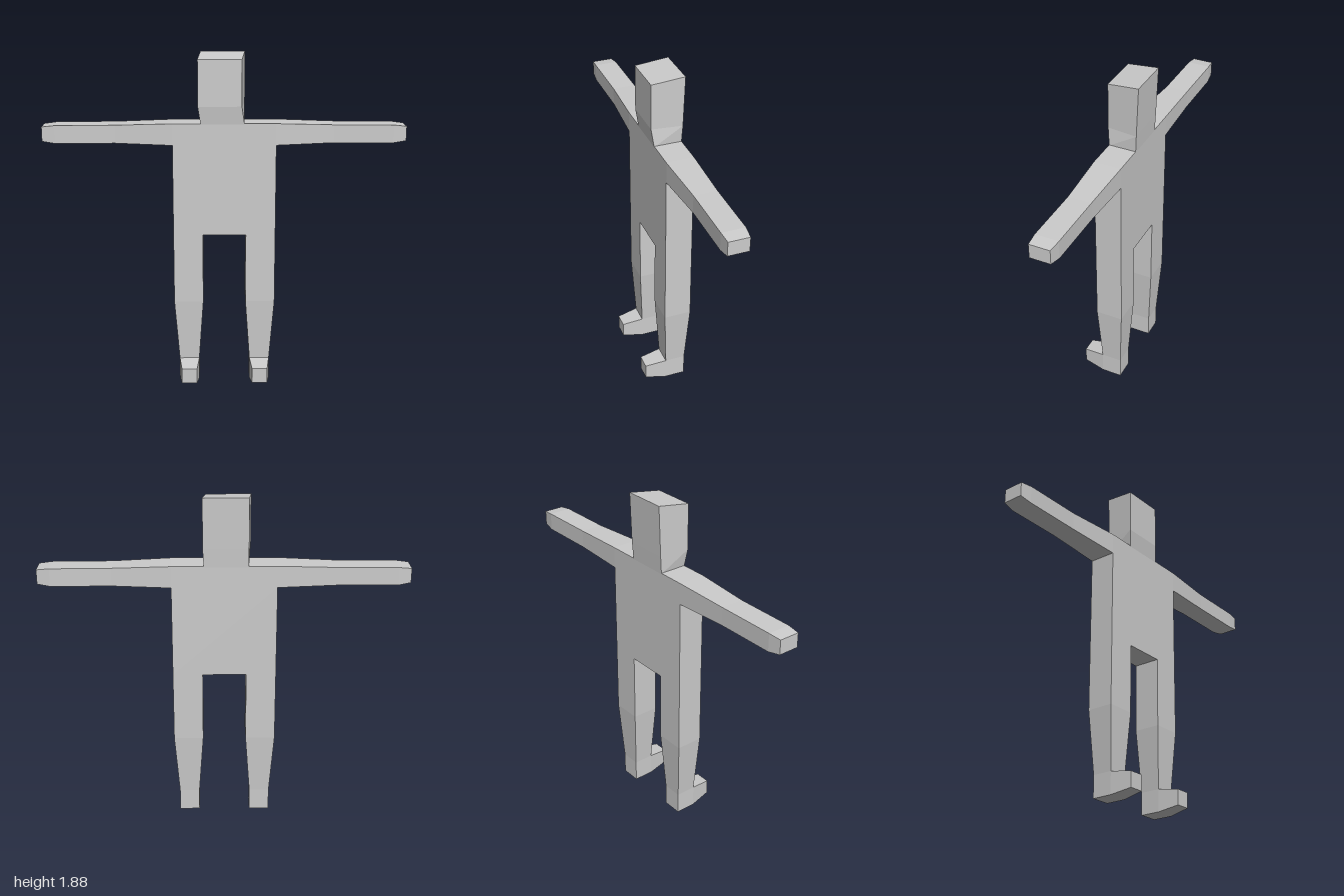
import * as THREE from 'three';

const material = new THREE.MeshStandardMaterial({ color: 0xcccccc, flatShading: true });

// Four-cornered cross-sections. Sides of an x ring: 0 bottom, 1 front, 2 top, 3 back.
const ringX = (x, y0, y1, z0, z1) => [[x, y0, z0], [x, y0, z1], [x, y1, z1], [x, y1, z0]];
// Sides of a y ring: 0 low x, 1 front, 2 high x, 3 back.
const ringY = (y, x0, x1, z0, z1) => [[x0, y, z0], [x0, y, z1], [x1, y, z1], [x1, y, z0]];
const ringZ = (z, x0, x1, y0, y1) => [[x0, y0, z], [x1, y0, z], [x1, y1, z], [x0, y1, z]];

// Joins cross-sections with flat quads that face away from each segment's centre.
function loft(name, rings, { side = 1, start = false, end = false, skip = [] } = {}) {
  const pts = rings.map(r => r.map(([x, y, z]) => new THREE.Vector3(x * side, y, z)));
  const out = [];
  const quad = (a, b, c, d, centre) => {
    const normal = c.clone().sub(a).cross(d.clone().sub(b));
    const mid = a.clone().add(b).add(c).add(d).multiplyScalar(0.25).sub(centre);
    const order = normal.dot(mid) > 0 ? [a, b, c, a, c, d] : [a, c, b, a, d, c];
    order.forEach(p => out.push(p.x, p.y, p.z));
  };
  for (let i = 0; i < pts.length - 1; i++) {
    const p = pts[i], q = pts[i + 1];
    const centre = [...p, ...q].reduce((s, v) => s.add(v), new THREE.Vector3()).multiplyScalar(1 / 8);
    for (let k = 0; k < 4; k++) {
      const n = (k + 1) % 4;
      if (!skip.includes(k)) quad(p[k], p[n], q[n], q[k], centre);
    }
    if (start && i === 0) quad(...p, centre);
    if (end && i === pts.length - 2) quad(...q, centre);
  }
  const geometry = new THREE.BufferGeometry();
  geometry.setAttribute('position', new THREE.Float32BufferAttribute(out, 3));
  geometry.computeVertexNormals();
  const mesh = new THREE.Mesh(geometry, material);
  mesh.name = name;
  return mesh;
}

export function createModel() {
  const model = new THREE.Group();
  model.name = 'figure';
  const back = -0.12, front = 0.033;

  // Head: slightly skewed block on a narrower neck, with a top sloping forward
  const headRing = (yFront, yBack, zBack) => [
    [-0.13, yBack, zBack], [-0.145, yFront, 0.045], [0.095, yFront, 0.045], [0.115, yBack, zBack]];
  model.add(loft('head', [
    ringY(1.5, -0.13, 0.11, back, front),
    headRing(1.6, 1.6, -0.125),
    headRing(1.855, 1.88, -0.135),
  ], { end: true }));

  // Torso, with the chest left open below the neck and beside the arms
  model.add(loft('torso', [
    ringY(0.875, -0.285, 0.285, back, front),
    ringY(1.385, -0.285, 0.285, back, front),
  ]));
  const chest = x => ringX(x, 1.385, 1.505, back, front);
  model.add(loft('chest', [chest(-0.13), chest(0.11)], { skip: [0, 2] }));
  model.add(loft('rightShoulder', [chest(-0.285), chest(-0.13)], { skip: [0] }));
  model.add(loft('leftShoulder', [chest(0.11), chest(0.285)], { skip: [0] }));

  // Crotch: underside of the torso between the legs
  const crotch = new THREE.Mesh(new THREE.PlaneGeometry(0.24, front - back), material);
  crotch.name = 'crotch';
  crotch.rotation.x = Math.PI / 2;
  crotch.position.set(0, 0.875, (front + back) / 2);
  model.add(crotch);

  for (const side of [1, -1]) {
    const label = side > 0 ? 'left' : 'right';

    // Arm: straight out, tapering to a blunt hand
    model.add(loft(label + 'Arm', [
      ringX(0.285, 1.385, 1.505, back, front),
      ringX(0.6, 1.395, 1.495, -0.113, 0.015),
      ringX(0.93, 1.394, 1.493, -0.113, 0.015),
      ringX(1, 1.405, 1.485, -0.105, 0.01),
    ], { side, end: true }));

    // Leg: straight thigh, tapered shin
    const ankle = y => ringY(y, 0.145, 0.258, -0.1, 0.015);
    model.add(loft(label + 'Leg', [
      ringY(0.875, 0.12, 0.285, back, front),
      ringY(0.48, 0.12, 0.285, back, front),
      ankle(0.125),
    ], { side }));

    // Foot: heel below the ankle and a tapered toe
    const foot = new THREE.Group();
    foot.name = label + 'Foot';
    foot.add(loft('heel', [ankle(0.125), ankle(0)], { side, end: true, skip: [1] }));
    foot.add(loft('toe', [
      ringZ(0.015, 0.145, 0.258, 0, 0.125),
      ringZ(0.135, 0.157, 0.243, 0.02, 0.107),
    ], { side, end: true }));
    model.add(foot);
  }
  return model;
}
